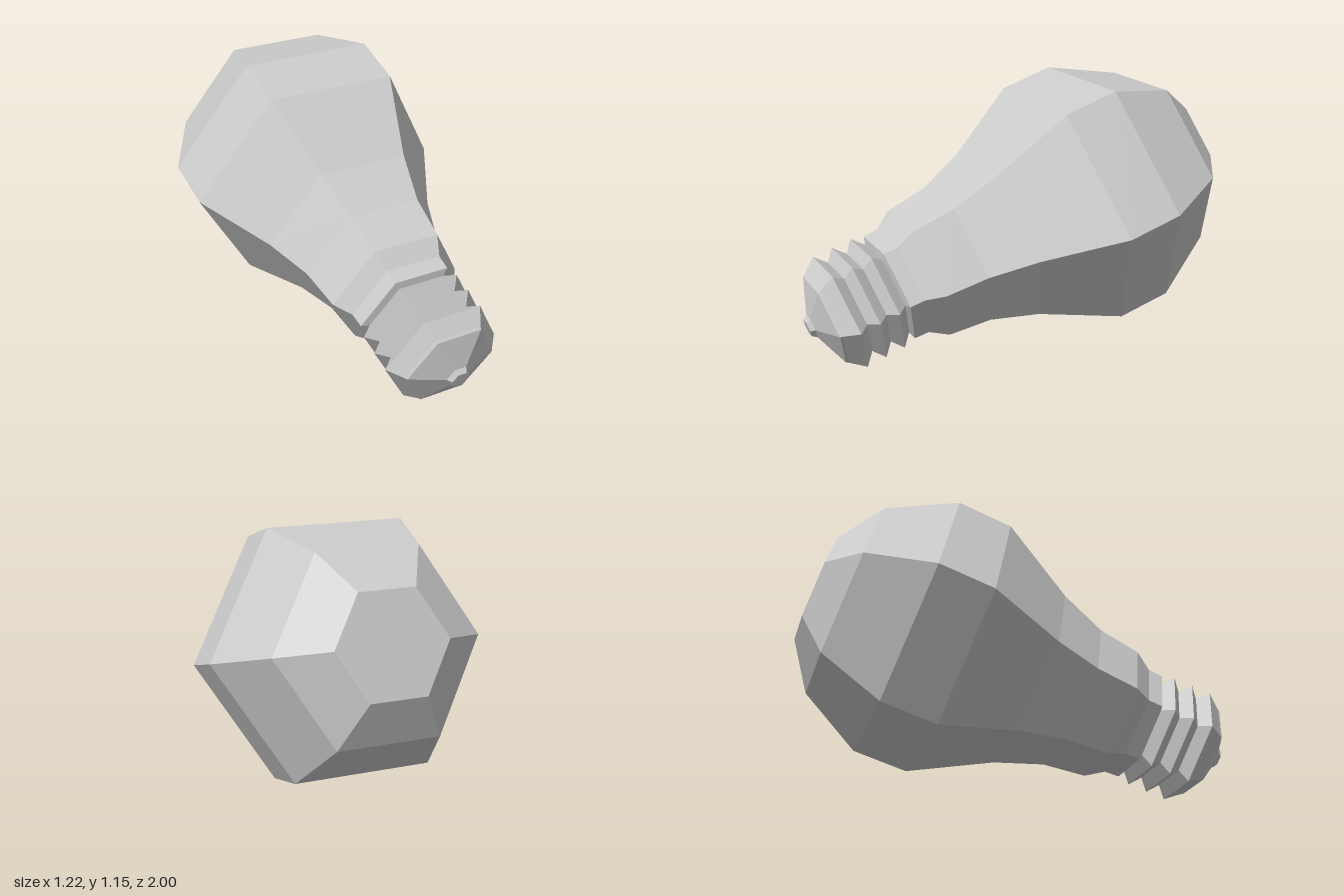
import * as THREE from 'three';

const SIDES = 6;
const TILT = THREE.MathUtils.degToRad(17.3);

export function createModel() {
  const model = new THREE.Group();
  model.name = 'lightBulb';
  const material = new THREE.MeshStandardMaterial({ color: 0xcccccc, flatShading: true });

  // Profile points are [radius, depth]; depth is the z of the ring centre on the tilted axis,
  // listed from the contact tip (front) to the dome (back).
  const bulb = new THREE.Group();
  bulb.name = 'bulb';
  const addPart = (name, profile) => {
    const points = profile.map(([r, z]) => new THREE.Vector2(r, -z / Math.cos(TILT)));
    const geometry = new THREE.LatheGeometry(points, SIDES, Math.PI / 2);
    const mesh = new THREE.Mesh(geometry, material);
    mesh.name = name;
    bulb.add(mesh);
  };

  // Small contact and the cone that carries it
  addPart('contactTip', [[0, 0.99], [0.04, 0.99], [0.056, 0.97]]);
  addPart('baseCone', [[0.056, 0.97], [0.21, 0.912], [0.218, 0.9]]);

  // Screw thread: three sharp ridges with valleys between
  const thread = [[0.218, 0.9]];
  for (const z of [0.838, 0.75, 0.662]) thread.push([0.271, z], [0.218, z - 0.046]);
  addPart('screwThread', thread);

  // Collar joining the thread to the glass
  addPart('collar', [[0.218, 0.616], [0.254, 0.606], [0.258, 0.54]]);

  // Faceted glass with a flat dome end
  addPart('glass', [
    [0.258, 0.54], [0.312, 0.463], [0.337, 0.272], [0.416, 0.065],
    [0.606, -0.275], [0.61, -0.518], [0.451, -0.803], [0.248, -0.935], [0, -0.935],
  ]);

  // Lay the axis back so the dome points to the rear and upwards
  bulb.rotation.x = -(Math.PI / 2 - TILT);
  bulb.position.y = 0.494;
  model.add(bulb);
  return model;
}
